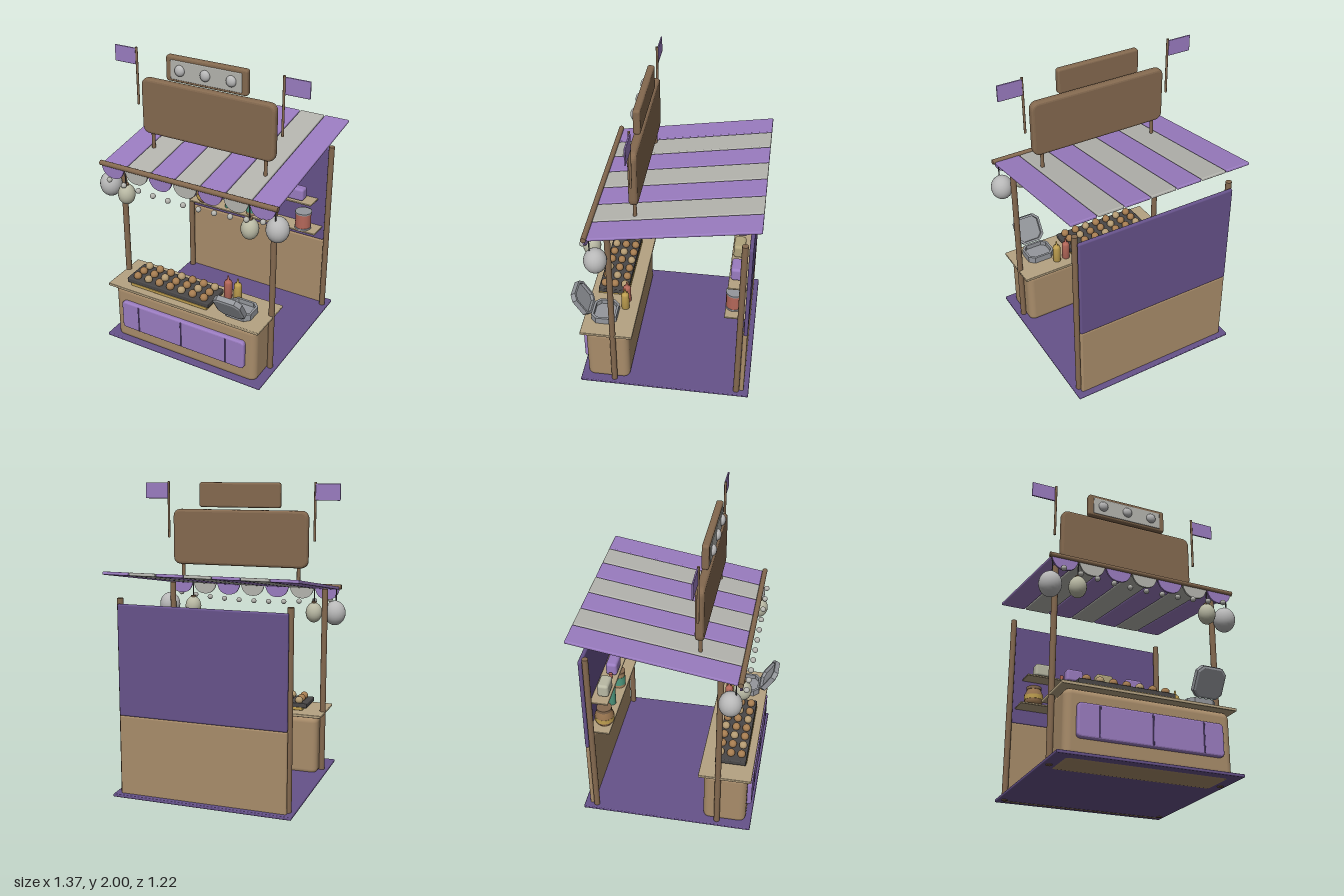
import * as THREE from 'three';
import { RoundedBoxGeometry } from 'three/addons/geometries/RoundedBoxGeometry.js';

const mats = {};
const mat = (color) => (mats[color] ??= new THREE.MeshStandardMaterial({ color, roughness: 0.8 }));

const PURPLE = 0x9a7cc0, DARK = 0x66528a, WOOD = 0x84694f, TAN = 0xa88c6a, PALE = 0xb5a382,
  CREAM = 0xb9b9a4, GREY = 0xb4b4ae, STEEL = 0x94979c, IRON = 0x4a4848, RED = 0xb5685a,
  GREEN = 0x4f9a80, YELLOW = 0xc0a050;

export function createModel() {
  const root = new THREE.Group();

  const add = (name, geo, color, x, y, z, parent = root) => {
    const m = new THREE.Mesh(geo, mat(color));
    m.name = name;
    m.position.set(x, y, z);
    parent.add(m);
    return m;
  };
  const group = (name) => {
    const g = new THREE.Group();
    g.name = name;
    root.add(g);
    return g;
  };
  // Soft-edged box and vertical rod
  const box = (name, color, w, h, d, x, y, z, r = 0.006, parent = root) =>
    add(name, new RoundedBoxGeometry(w, h, d, 3, Math.min(r, w / 2.1, h / 2.1, d / 2.1)), color, x, y, z, parent);
  const rod = (name, color, r, y0, y1, x, z, parent = root) =>
    add(name, new THREE.CylinderGeometry(r, r, y1 - y0, 14), color, x, (y0 + y1) / 2, z, parent);
  const ball = (name, color, rx, ry, rz, x, y, z, parent = root) => {
    const m = add(name, new THREE.SphereGeometry(1, 20, 14), color, x, y, z, parent);
    m.scale.set(rx, ry, rz);
    return m;
  };
  const lathe = (name, color, pts, x, y, z, parent = root) =>
    add(name, new THREE.LatheGeometry(pts.map(([r, h]) => new THREE.Vector2(r, h)), 20), color, x, y, z, parent);

  // Upright board with rounded corners and a bevelled rim
  const outline = (w, h, r, Kind = THREE.Shape) => {
    const s = new Kind(), a = w / 2, b = h / 2;
    s.moveTo(-a + r, -b);
    s.lineTo(a - r, -b).quadraticCurveTo(a, -b, a, -b + r);
    s.lineTo(a, b - r).quadraticCurveTo(a, b, a - r, b);
    s.lineTo(-a + r, b).quadraticCurveTo(-a, b, -a, b - r);
    s.lineTo(-a, -b + r).quadraticCurveTo(-a, -b, -a + r, -b);
    return s;
  };
  const boardGeo = (w, h, d, r, bevel) => new THREE.ExtrudeGeometry(outline(w - 2 * bevel, h - 2 * bevel, r), {
    depth: d - 2 * bevel, bevelSize: bevel, bevelThickness: bevel, bevelSegments: 3, curveSegments: 6,
  }).translate(0, 0, bevel - d / 2);

  // Floor, posts and back wall
  box('floor', DARK, 1.19, 0.02, 1.15, 0, 0.014, -0.025);
  for (const x of [-0.555, 0.555]) {
    rod('frontPost', WOOD, 0.02, 0, 1.29, x, 0.32);
    rod('backPost', WOOD, 0.02, 0, 1.29, x, -0.515);
  }
  box('upperWall', DARK, 1.11, 0.72, 0.026, 0, 0.9, -0.553, 0.012);
  box('lowerWall', TAN, 1.11, 0.545, 0.03, 0, 0.2725, -0.55, 0.014);

  // Counter with a panelled front
  box('counterBody', TAN, 1.08, 0.42, 0.29, 0, 0.21, 0.365, 0.045);
  box('counterTop', PALE, 1.14, 0.02, 0.35, 0, 0.43, 0.365, 0.005);
  add('counterPanel', boardGeo(0.94, 0.21, 0.04, 0.015, 0.012), PURPLE, 0, 0.22, 0.52);
  for (const x of [-0.335, 0, 0.335]) box('panelBatten', DARK, 0.01, 0.19, 0.012, x, 0.22, 0.538);

  // Sloping striped roof with a scalloped front edge
  const roof = group('roof');
  const scallop = new THREE.Shape();
  scallop.moveTo(-0.088, 0);
  scallop.bezierCurveTo(-0.08, -0.055, -0.055, -0.088, 0, -0.088);
  scallop.bezierCurveTo(0.055, -0.088, 0.08, -0.055, 0.088, 0);
  const scallopGeo = new THREE.ExtrudeGeometry(scallop, { depth: 0.012, bevelEnabled: false, curveSegments: 10 });
  for (let i = 0; i < 7; i++) {
    const x = (i - 3) * 0.18, color = i % 2 ? GREY : PURPLE;
    box('roofStripe', color, 0.173, 0.02, 1.055, x, 1.37, -0.09, 0.007, roof).rotation.x = 0.163;
    add('scallop', scallopGeo, color, x, 1.288, 0.442, roof);
  }
  const bar = rod('frontBar', WOOD, 0.017, -0.638, 0.638, 0, 0.448, roof);
  bar.rotation.z = Math.PI / 2;
  bar.position.y = 1.29;

  // String of bulbs and hanging lanterns
  const lights = group('lights');
  for (let i = -5; i <= 5; i++) {
    const x = i * 0.111;
    ball('stringBulb', GREY, 0.018, 0.018, 0.018, x, 1.16 + 0.0015 * i * i, 0.475, lights);
  }
  for (const s of [-1, 1]) {
    ball('largeLantern', 0xb8b8b8, 0.073, 0.084, 0.073, s * 0.61, 1.12, 0.388, lights);
    ball('smallLantern', CREAM, 0.057, 0.07, 0.057, s * 0.45, 1.107, 0.44, lights);
    rod('lanternCord', IRON, 0.004, 1.19, 1.28, s * 0.61, 0.42, lights);
    rod('lanternCord', IRON, 0.004, 1.16, 1.28, s * 0.45, 0.445, lights);
    rod('lanternCap', WOOD, 0.018, 1.165, 1.182, s * 0.45, 0.44, lights);
  }

  // Signboards and flags
  add('mainSign', boardGeo(0.95, 0.375, 0.055, 0.035, 0.018), WOOD, 0, 1.628, 0.17);
  add('topSign', boardGeo(0.57, 0.165, 0.044, 0.006, 0.012), WOOD, 0, 1.913, 0.17);
  box('topSignPlate', GREY, 0.5, 0.125, 0.012, 0, 1.91, 0.19);
  for (const x of [-0.18, 0, 0.18]) ball('signBulb', 0xb8b8b8, 0.034, 0.036, 0.024, x, 1.912, 0.198);
  for (const s of [-1, 1]) {
    rod('signPost', WOOD, 0.012, 1.325, 1.5, s * 0.41, 0.17);
    rod('flagPole', WOOD, 0.008, 1.62, 2, s * 0.515, 0.17);
    box('flag', PURPLE, 0.165, 0.108, 0.01, s * 0.6, 1.938, 0.165, 0.004);
  }

  // Griddle with rows of round snacks
  const grill = group('griddle');
  box('burner', YELLOW, 0.59, 0.022, 0.21, -0.125, 0.452, 0.385, 0.004, grill);
  box('tray', IRON, 0.63, 0.034, 0.205, -0.135, 0.475, 0.385, 0.006, grill);
  for (let r = 0; r < 3; r++) {
    for (let c = 0; c < 7; c++) {
      ball('snack', (r + c) % 3 ? 0xa57c50 : 0xb39a72, 0.027, 0.027, 0.027, -0.388 + c * 0.086, 0.506, 0.31 + r * 0.07, grill);
    }
  }

  // Sauce bottles
  for (const [x, color] of [[0.213, RED], [0.285, YELLOW]]) {
    lathe('sauceBottle', color, [[0, 0], [0.027, 0], [0.027, 0.11], [0.022, 0.125], [0.009, 0.132], [0.004, 0.165], [0, 0.165]], x, 0.44, 0.28);
  }

  // Hinged serving box: hollow eight-sided base and open lid
  const octagon = (w, h, c, Kind = THREE.Shape) => {
    const a = w / 2, b = h / 2;
    return new Kind([[-a + c, -b], [a - c, -b], [a, -b + c], [a, b - c], [a - c, b], [-a + c, b], [-a, b - c], [-a, -b + c]]
      .map(([x, y]) => new THREE.Vector2(x, y)));
  };
  const shell = (name, w, h, depth) => {
    const g = group(name);
    const rim = octagon(w, h, 0.035);
    rim.holes.push(octagon(w - 0.03, h - 0.03, 0.028, THREE.Path));
    add('rim', new THREE.ExtrudeGeometry(rim, { depth, bevelEnabled: false }), STEEL, 0, 0, 0, g);
    add('bottom', new THREE.ExtrudeGeometry(octagon(w - 0.024, h - 0.024, 0.03),
      { depth: 0.008, bevelSize: 0.01, bevelThickness: 0.006, bevelSegments: 1 }), STEEL, 0, 0, 0, g);
    return g;
  };
  const base = shell('servingBoxBase', 0.195, 0.17, 0.045);
  base.rotation.x = -Math.PI / 2;
  base.position.set(0.375, 0.447, 0.4);
  const lid = shell('servingBoxLid', 0.195, 0.195, 0.035);
  lid.rotation.set(Math.PI + 0.55, 0, 0);
  lid.position.set(0.375, 0.565, 0.563);

  // Wall shelves
  box('upperShelf', PALE, 0.935, 0.012, 0.12, 0, 0.86, -0.478, 0.004);
  box('lowerShelf', PALE, 1.02, 0.012, 0.135, 0, 0.648, -0.475, 0.004);
  [CREAM, PURPLE, 0xb0a47c, PURPLE].forEach((color, i) =>
    box('shelfBox', color, 0.125, 0.092, 0.075, -0.345 + i * 0.227, 0.914, -0.466, 0.018));

  // Jar, bottle and cans on the lower shelf
  const goods = group('shelfGoods');
  const z = -0.463;
  lathe('jar', 0x9a7650, [[0, 0], [0.045, 0], [0.062, 0.025], [0.064, 0.075], [0.046, 0.11], [0.046, 0.13], [0, 0.13]], -0.405, 0.654, z, goods);
  rod('jarBand', YELLOW, 0.0655, 0.69, 0.72, -0.405, z, goods);
  rod('jarLid', WOOD, 0.051, 0.765, 0.786, -0.405, z, goods);
  lathe('bottle', GREEN, [[0, 0], [0.026, 0], [0.026, 0.17], [0.022, 0.19], [0.01, 0.205], [0.009, 0.225], [0, 0.225]], -0.207, 0.654, z, goods);
  rod('bottleCap', RED, 0.012, 0.875, 0.908, -0.207, z, goods);
  rod('smallCan', 0xa58560, 0.043, 0.654, 0.772, -0.01, z, goods);
  rod('smallCanLabel', GREEN, 0.045, 0.675, 0.74, -0.01, z, goods);
  rod('smallCanLid', WOOD, 0.046, 0.768, 0.78, -0.01, z, goods);
  rod('largeCan', RED, 0.056, 0.654, 0.775, 0.395, z, goods);
  for (const y of [0.654, 0.77]) rod('largeCanRim', STEEL, 0.059, y, y + 0.012, 0.395, z, goods);

  return root;
}
